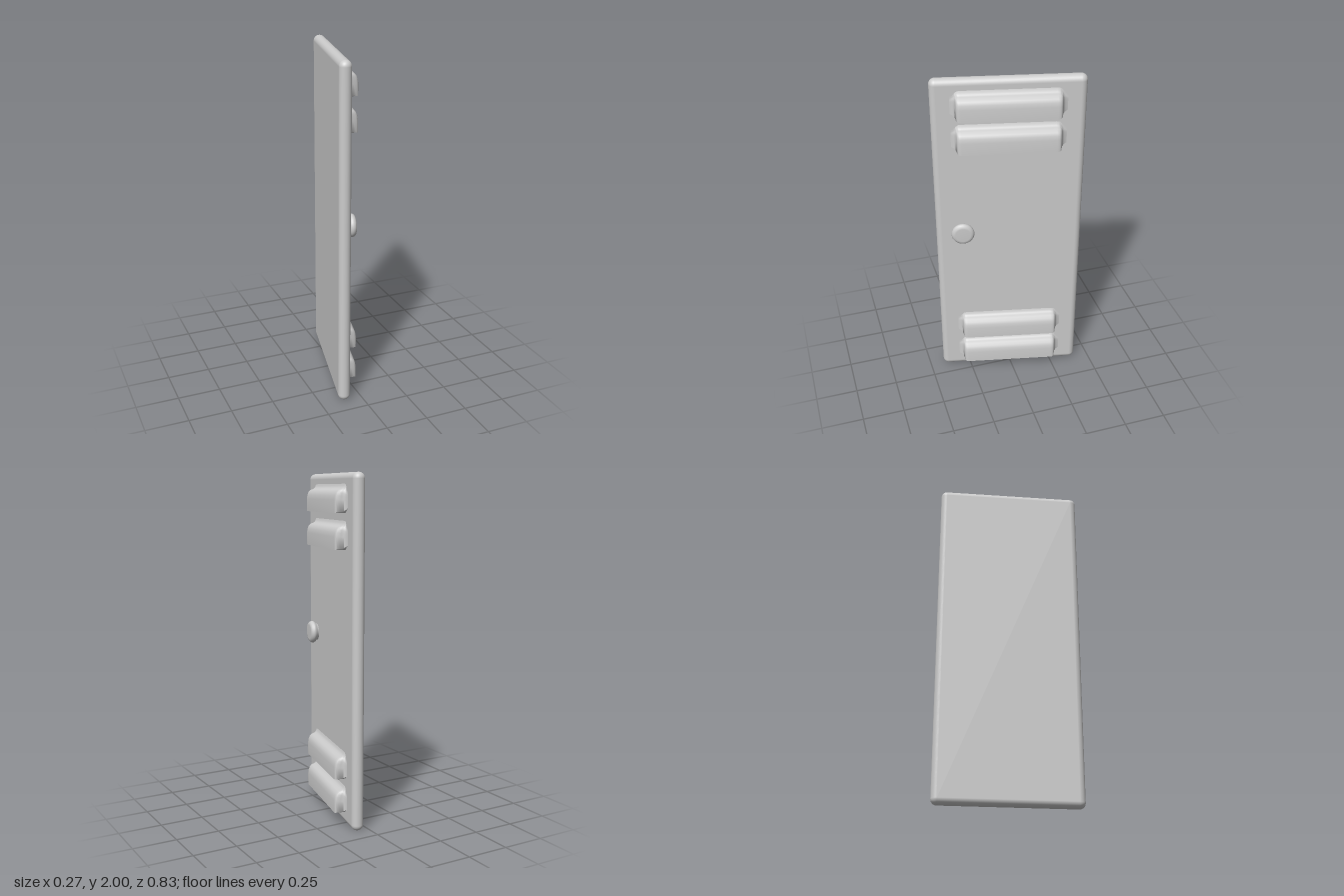
import * as THREE from 'three';
import { toCreasedNormals } from 'three/addons/utils/BufferGeometryUtils.js';
import { RoundedBoxGeometry } from 'three/addons/geometries/RoundedBoxGeometry.js';

const material = new THREE.MeshStandardMaterial({ color: 0xcccccc });
const FACE = 0.035; // half thickness of the door panel

function addMesh(parent, name, geometry) {
  const mesh = new THREE.Mesh(geometry, material);
  mesh.name = name;
  parent.add(mesh);
  return mesh;
}

// Pressed vent hood: one profile (depth, height) swept along z, fading into the panel at both ends
function ventGeometry() {
  const profile = [
    [-0.002, 0.165], [0.003, 0.148], [0.01, 0.137], [0.02, 0.131], [0.036, 0.126],
    [0.049, 0.113], [0.056, 0.096], [0.06, 0.072], [0.06, 0], [-0.002, 0],
  ];
  // distance from centre, depth scale, height scale
  const end = [
    [0.318, 0, 0.6], [0.302, 0.08, 0.72], [0.293, 0.24, 0.82], [0.288, 0.5, 0.88],
    [0.285, 0.78, 0.92], [0.28, 0.92, 0.96], [0.272, 0.98, 0.99], [0.26, 1, 1],
  ];
  const sections = [
    ...end.map(([z, d, h]) => [-z, d, h]),
    ...end.slice().reverse(),
  ];
  const mid = 0.065;
  const positions = [];
  const index = [];
  const n = profile.length;
  sections.forEach(([z, d, h], i) => {
    profile.forEach(([x, y], j) => {
      positions.push(x * d, mid + (y - mid) * h, z);
      if (i < sections.length - 1 && j < n - 1) {
        const a = i * n + j, b = a + 1, c = a + n, e = c + 1;
        index.push(a, c, b, b, c, e);
      }
    });
  });
  const geometry = new THREE.BufferGeometry();
  geometry.setAttribute('position', new THREE.Float32BufferAttribute(positions, 3));
  geometry.setIndex(index);
  return toCreasedNormals(geometry, 1.0);
}

export function createModel() {
  const model = new THREE.Group();
  model.name = 'lockerDoor';

  // The door stands slightly ajar, turned about the vertical axis
  const door = new THREE.Group();
  door.name = 'door';
  door.position.x = -0.02;
  door.rotation.y = -0.215;
  model.add(door);

  // Panel with fully rounded edges
  addMesh(door, 'panel', new RoundedBoxGeometry(FACE * 2, 2, 0.848, 6, 0.0345)).position.y = 1;

  // Two pairs of vents, low and high
  const vent = ventGeometry();
  [0.07, 0.27, 1.58, 1.78].forEach((y, i) => {
    addMesh(door, `vent${i + 1}`, vent).position.set(FACE, y, 0);
  });

  // Round knob near the free edge
  const knobProfile = [
    [0.05, -0.005], [0.052, 0.006], [0.06, 0.014], [0.066, 0.023], [0.067, 0.031],
    [0.063, 0.041], [0.054, 0.048], [0.043, 0.05], [0, 0.05],
  ].map(([r, h]) => new THREE.Vector2(r, h));
  const knob = addMesh(door, 'knob', new THREE.LatheGeometry(knobProfile, 32));
  knob.rotation.z = -Math.PI / 2;
  knob.position.set(FACE, 1.045, 0.27);

  return model;
}
